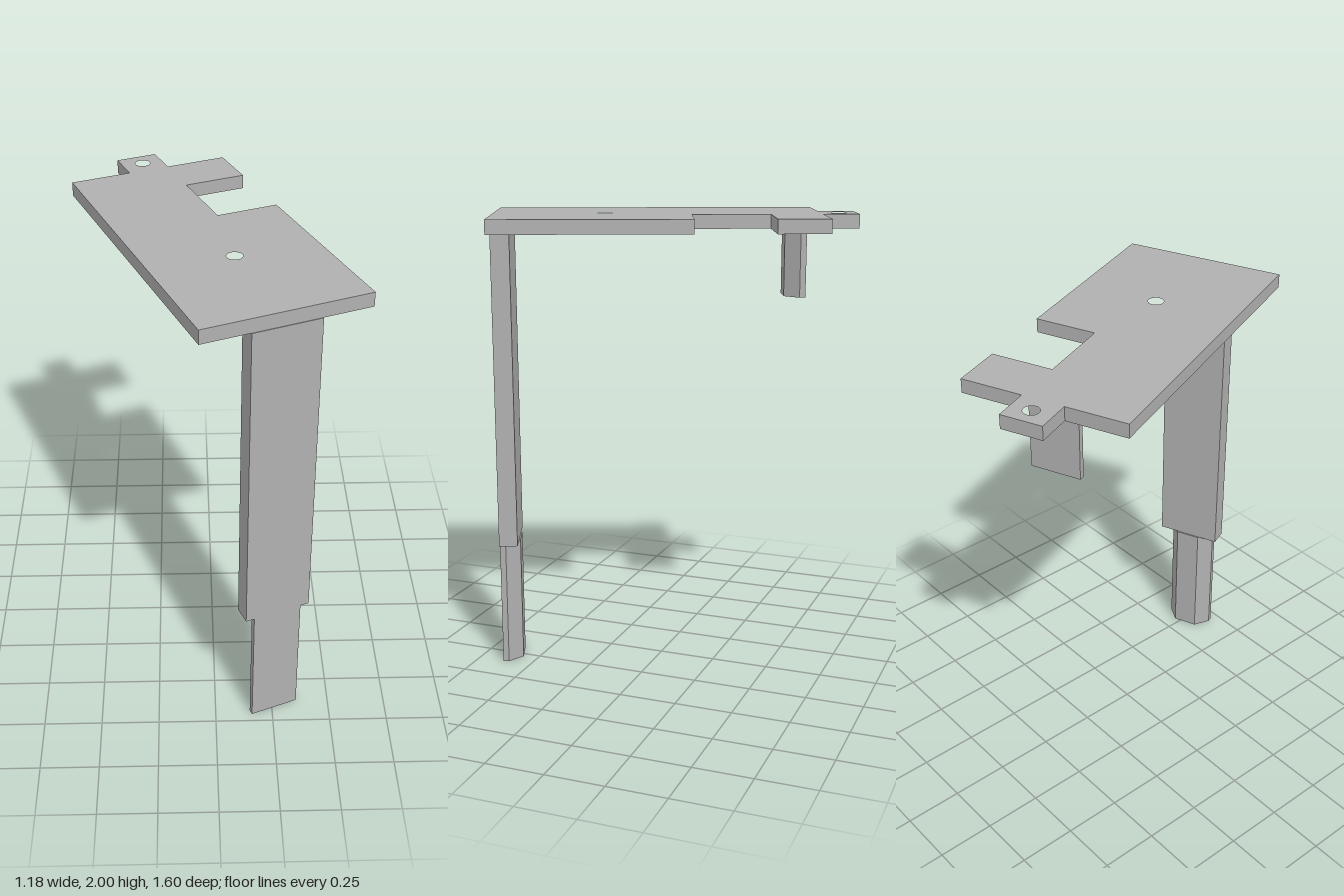
import * as THREE from 'three';

const ANGLE = 0.387; // turn of the whole bracket about the vertical

// Extrudes an outline of [x, z] points upward from y0 to y1
function prism(name, points, y0, y1, material, holes = []) {
  const shape = new THREE.Shape(points.map(([x, z]) => new THREE.Vector2(x, -z)));
  for (const [x, z, r] of holes) {
    shape.holes.push(new THREE.Path().absarc(x, -z, r, 0, Math.PI * 2, true));
  }
  const geometry = new THREE.ExtrudeGeometry(shape, {
    depth: y1 - y0, bevelEnabled: false, curveSegments: 32,
  });
  geometry.rotateX(-Math.PI / 2);
  const mesh = new THREE.Mesh(geometry, material);
  mesh.name = name;
  mesh.position.y = y0;
  return mesh;
}

export function createModel() {
  const model = new THREE.Group();
  model.name = 'bracket';
  const grey = new THREE.MeshStandardMaterial({ color: 0xb0b0b0 });
  grey.name = 'plain grey';

  // Flat plate with a side notch, an end tab and two round holes
  const outline = [
    [-0.592, -0.494], [-0.348, -0.593], [-0.406, -0.736], [-0.24, -0.804],
    [-0.181, -0.66], [0.064, -0.76], [0.147, -0.556], [-0.1, -0.456],
    [0.026, -0.147], [0.273, -0.246], [0.59, 0.533], [-0.067, 0.8],
  ];
  model.add(prism('plate', outline, 1.94, 2, grey,
    [[-0.293, -0.7, 0.033], [0.082, 0.225, 0.033]]));

  // Long rectangular leg under the front edge
  const leg = new THREE.Mesh(new THREE.BoxGeometry(0.291, 1.38, 0.081), grey);
  leg.name = 'leg';
  leg.position.set(0.245, 1.25, 0.6325);
  leg.rotation.y = ANGLE;
  model.add(leg);

  // Pegs: flat face on z = 0, two chamfers on the opposite side
  const half = 0.1075, face = 0.055, side = 0.025, depth = 0.087;
  const section = [
    [-half, 0], [half, 0], [half, -side], [face, -depth], [-face, -depth], [-half, -side],
  ];
  const addPeg = (name, x, z, y0, y1, turn) => {
    const peg = prism(name, section, y0, y1, grey);
    peg.position.set(x, y0, z);
    peg.rotation.y = turn;
    model.add(peg);
  };
  addPeg('footPeg', 0.26, 0.67, 0, 0.56, ANGLE);
  addPeg('rearPeg', -0.24, -0.562, 1.65, 1.94, ANGLE + Math.PI);

  return model;
}
